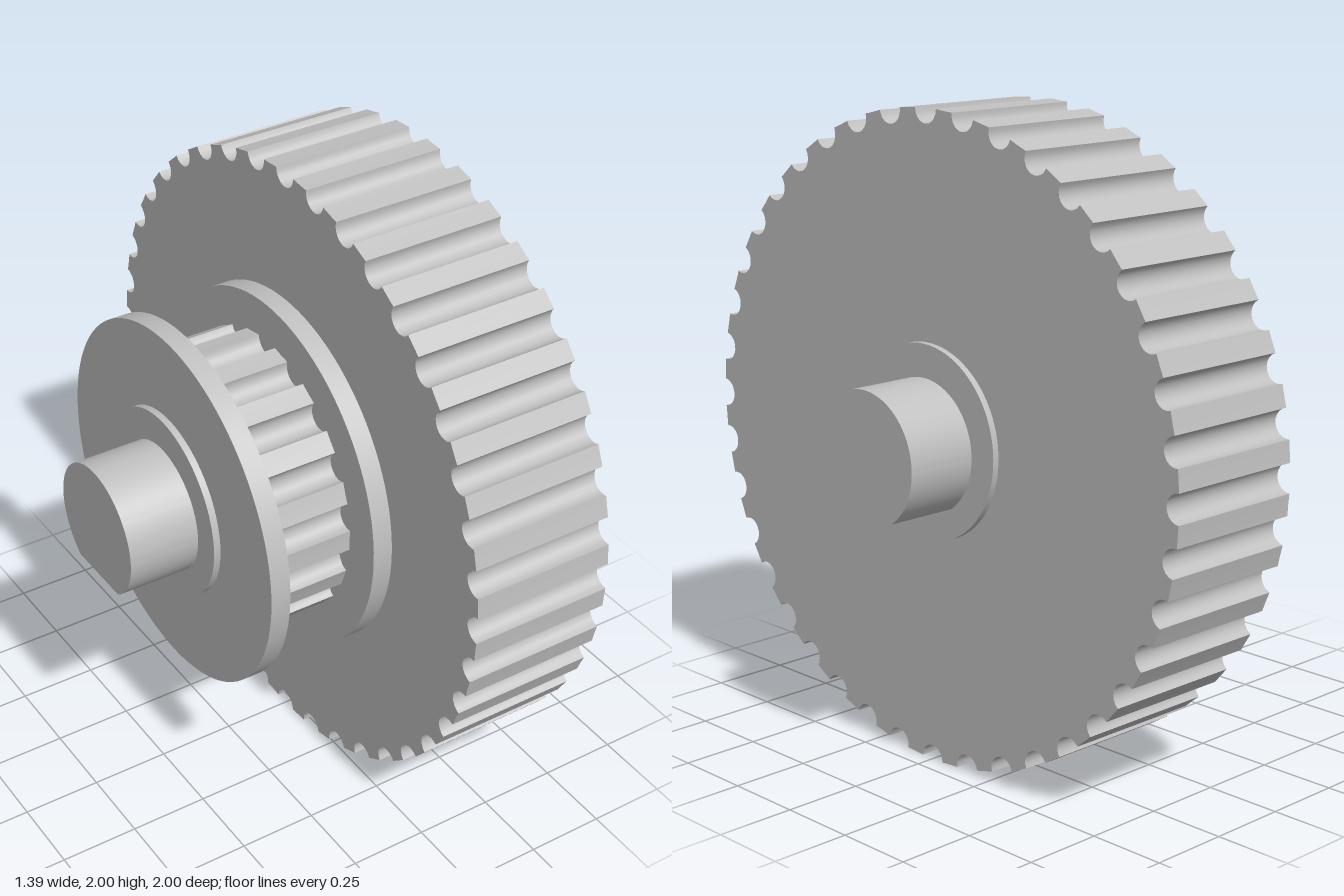
import * as THREE from 'three';
import { toCreasedNormals } from 'three/addons/utils/BufferGeometryUtils.js';

const steel = new THREE.MeshStandardMaterial({ color: 0xc0c0c0 });
steel.name = 'plain steel grey';

// Extrude a y/z profile along x, from x0 to x1
function extrudeX(shape, x0, x1) {
  const g = new THREE.ExtrudeGeometry(shape, { depth: x1 - x0, bevelEnabled: false, curveSegments: 48 });
  g.rotateY(Math.PI / 2);
  g.translate(x0, 0, 0);
  return toCreasedNormals(g, 0.5);
}

function discX(radius, x0, x1) {
  const g = new THREE.CylinderGeometry(radius, radius, x1 - x0, 96);
  g.rotateZ(-Math.PI / 2);
  g.translate((x0 + x1) / 2, 0, 0);
  return g;
}

// Timing-belt profile: a round groove cut into the rim at each step, the first at the top
function toothedShape(radius, teeth, groove) {
  const points = [];
  const step = (Math.PI * 2) / teeth;
  for (let i = 0; i < teeth; i++) {
    const a = Math.PI / 2 + i * step;
    const cx = radius * Math.cos(a), cy = radius * Math.sin(a);
    for (let j = 0; j <= 10; j++) {
      const b = a - Math.PI / 2 - (j / 10) * Math.PI;
      points.push(new THREE.Vector2(cx + groove * Math.cos(b), cy + groove * Math.sin(b)));
    }
    const m = a + step / 2; // middle of the tooth land
    points.push(new THREE.Vector2(radius * Math.cos(m), radius * Math.sin(m)));
  }
  return new THREE.Shape(points);
}

// Round shaft with a flat on its underside
function shaftShape(radius, flat) {
  const a = Math.asin(flat / radius);
  const s = new THREE.Shape();
  s.absarc(0, 0, radius, -a, Math.PI + a, false);
  s.closePath();
  return s;
}

export function createModel() {
  const group = new THREE.Group();
  group.name = 'doublePulley';
  const add = (name, geometry, y = 1) => {
    const mesh = new THREE.Mesh(geometry, steel);
    mesh.name = name;
    mesh.position.y = y;
    group.add(mesh);
  };

  // Toothed wheels
  add('largeToothedWheel', extrudeX(toothedShape(0.999, 40, 0.045), -0.026, 0.44));
  add('smallToothedWheel', extrudeX(toothedShape(0.454, 18, 0.045), -0.385, -0.085));

  // Belt guides on either side of the small wheel
  add('outerFlange', discX(0.58, -0.443, -0.379));
  add('innerFlange', discX(0.58, -0.09, -0.026));

  // Thin spacer collars, set slightly high
  add('rightCollar', discX(0.3, -0.465, -0.44), 1.011);
  add('leftCollar', discX(0.3, 0.435, 0.461), 1.011);

  // Stub shafts at both ends
  const profile = shaftShape(0.208, 0.172);
  add('rightShaft', extrudeX(profile, -0.693, -0.44));
  add('leftShaft', extrudeX(profile, 0.435, 0.693));

  return group;
}
